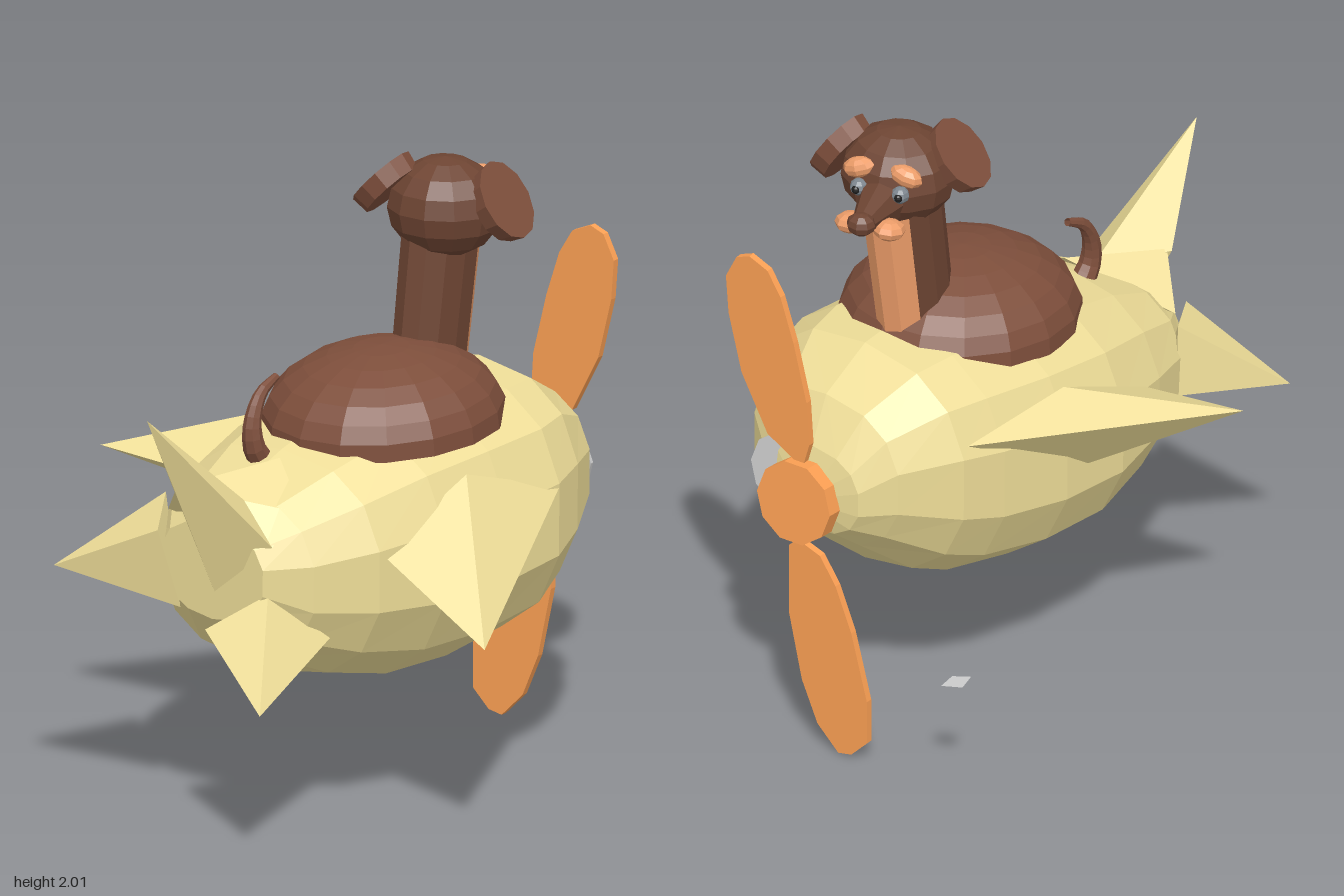
import * as THREE from 'three';
import { ConvexGeometry } from 'three/addons/geometries/ConvexGeometry.js';

const mat = (color, side = THREE.FrontSide) =>
  new THREE.MeshStandardMaterial({ color, flatShading: true, side });
const CREAM = mat(0xeedd98), BROWN = mat(0x7d4e3b, THREE.DoubleSide), DARK = mat(0x6e4533);
const TAN = mat(0xee9e6a), ORANGE = mat(0xfca054), GREY = mat(0xcccccc, THREE.DoubleSide);
const EYE = mat(0x7d868e), PUPIL = mat(0x202020);

function add(parent, name, geometry, material, pos = [0, 0, 0], rot = [0, 0, 0], scale = [1, 1, 1]) {
  const m = new THREE.Mesh(geometry, material);
  m.name = name;
  m.position.set(...pos);
  m.rotation.set(...rot);
  m.scale.set(...scale);
  parent.add(m);
  return m;
}

const ball = (w = 10, h = 7) => new THREE.SphereGeometry(1, w, h);
const spike = (...pts) => new ConvexGeometry(pts.map(p => new THREE.Vector3(...p)));

// Closed hull from rings along x: [x, top, bottom, zMin, zMax], with fuller shoulders above
function hullGeometry(rings, sides) {
  const pos = [], idx = [];
  const bulge = (v, e) => Math.sign(v) * Math.abs(v) ** e;
  for (const [x, t, b, z0, z1] of rings)
    for (let j = 0; j < sides; j++) {
      const a = ((j + 0.5) / sides) * Math.PI * 2, e = Math.sin(a) > 0 ? 0.8 : 0.92;
      pos.push(x, (t + b) / 2 + bulge(Math.sin(a), e) * (t - b) / 2,
        (z0 + z1) / 2 + bulge(Math.cos(a), e) * (z1 - z0) / 2);
    }
  const last = (rings.length - 1) * sides;
  for (let j = 0; j < sides; j++) {
    const k = (j + 1) % sides;
    for (let i = 0; i < last; i += sides)
      idx.push(i + j, i + k, i + sides + j, i + k, i + sides + k, i + sides + j);
    if (j > 0 && j < sides - 1) idx.push(0, k, j, last, last + j, last + k);
  }
  const g = new THREE.BufferGeometry();
  g.setAttribute('position', new THREE.Float32BufferAttribute(pos, 3));
  g.setIndex(idx);
  g.computeVertexNormals();
  return g;
}

// Flat blade from a [z, y] outline
function bladeGeometry(outline) {
  const shape = new THREE.Shape(outline.map(([z, y]) => new THREE.Vector2(-z, y)));
  const g = new THREE.ExtrudeGeometry(shape, { depth: 0.024, bevelEnabled: false });
  return g.rotateY(Math.PI / 2);
}

// Tube whose radius shrinks to a tip
function taperedTube(points, radius, tip) {
  const curve = new THREE.CatmullRomCurve3(points.map(p => new THREE.Vector3(...p)));
  const rows = 10, sides = 8;
  const g = new THREE.TubeGeometry(curve, rows, radius, sides, false);
  const p = g.attributes.position, v = new THREE.Vector3();
  for (let i = 0; i < p.count; i++) {
    const t = Math.floor(i / (sides + 1)) / rows, c = curve.getPointAt(t);
    v.fromBufferAttribute(p, i).sub(c).multiplyScalar(1 + (tip - 1) * t).add(c);
    p.setXYZ(i, v.x, v.y, v.z);
  }
  return g;
}

function buildAircraft() {
  const g = new THREE.Group();
  g.name = 'aircraft';
  add(g, 'fuselage', hullGeometry([
    [0.88, 0.97, 0.79, -0.10, 0.13], [0.86, 1.04, 0.74, -0.18, 0.21],
    [0.77, 1.18, 0.66, -0.27, 0.34], [0.59, 1.29, 0.51, -0.39, 0.45],
    [0.44, 1.30, 0.44, -0.43, 0.505], [0.19, 1.29, 0.40, -0.475, 0.505],
    [-0.07, 1.26, 0.40, -0.48, 0.475], [-0.31, 1.19, 0.46, -0.42, 0.41],
    [-0.50, 1.10, 0.55, -0.35, 0.30], [-0.62, 1.01, 0.70, -0.24, 0.19],
  ], 14), CREAM);

  // Wings and tail fins: the first point is the tip
  add(g, 'rightWing', spike([-0.30, 0.70, 0.83], [-0.28, 0.92, 0.38], [0.06, 1.11, 0.44],
    [0.45, 0.99, 0.49], [0.10, 0.79, 0.48]), CREAM);
  add(g, 'leftWing', spike([-0.23, 1.01, -0.83], [-0.18, 0.98, -0.46], [0.17, 1.12, -0.43],
    [0.57, 1.06, -0.38], [0.10, 0.82, -0.46]), CREAM);
  add(g, 'topFin', spike([-0.96, 1.44, 0], [-0.68, 1.13, -0.14], [-0.58, 0.97, 0.19],
    [-0.66, 0.81, 0.02], [-0.52, 1.06, 0.06]), CREAM);
  add(g, 'topFinRoot', spike([-0.68, 1.13, -0.12], [-0.36, 1.18, 0.03], [-0.46, 1.06, 0.21],
    [-0.58, 0.97, 0.19], [-0.56, 1.0, -0.26]), CREAM);
  add(g, 'rightFin', spike([-0.88, 0.53, 0.40], [-0.74, 0.71, 0.05], [-0.60, 0.82, 0.19],
    [-0.43, 0.66, 0.30], [-0.54, 0.58, 0.10]), CREAM);
  add(g, 'leftFin', spike([-0.74, 0.79, -0.58], [-0.68, 0.97, -0.20], [-0.48, 1.02, -0.34],
    [-0.46, 0.78, -0.35], [-0.64, 0.72, -0.14]), CREAM);
  return g;
}

function buildPropeller() {
  const g = new THREE.Group();
  g.name = 'propeller';
  add(g, 'hub', new THREE.CylinderGeometry(0.14, 0.14, 0.055, 10), ORANGE,
    [0.92, 0.865, 0.02], [0, 0.1, -Math.PI / 2 + 0.096]);
  add(g, 'upperBlade', bladeGeometry([
    [0.05, 1.0], [0.01, 1.0], [-0.01, 1.07], [0, 1.22], [0.05, 1.42], [0.1, 1.57], [0.15, 1.65],
    [0.22, 1.68], [0.27, 1.66], [0.31, 1.58], [0.3, 1.45], [0.25, 1.25], [0.15, 1.06],
  ]), ORANGE, [0.883, 0, 0], [0, 0.1, 0]);
  add(g, 'lowerBlade', bladeGeometry([
    [0.06, 0.69], [0.02, 0.72], [-0.06, 0.69], [-0.12, 0.6], [-0.18, 0.45], [-0.24, 0.22],
    [-0.24, 0.07], [-0.18, 0.01], [-0.13, 0], [-0.05, 0.08], [0.01, 0.22], [0.06, 0.45],
  ]), ORANGE, [0.893, 0, 0], [0, 0.1, 0]);
  add(g, 'backPlate', new THREE.CylinderGeometry(0.13, 0.13, 0.012, 10), GREY,
    [0.865, 0.91, 0.12], [0, 0.1, -Math.PI / 2 + 0.1]);
  // Small loose chip beside the nose
  const chip = new THREE.BufferGeometry();
  chip.setAttribute('position', new THREE.Float32BufferAttribute(
    [0.83, 0.43, -0.62, 0.86, 0.40, -0.61, 0.87, 0.38, -0.53, 0.84, 0.41, -0.55], 3));
  chip.setIndex([0, 1, 2, 0, 2, 3]);
  chip.computeVertexNormals();
  add(g, 'looseChip', chip, GREY);
  return g;
}

function buildHead() {
  const g = new THREE.Group();
  g.name = 'head';
  g.position.set(0.41, 1.83, 0.046);
  g.rotation.y = 0.33;
  add(g, 'skull', ball(12, 8), DARK, [0, 0, 0], [0, 0, 0], [0.175, 0.162, 0.187]);
  add(g, 'snout', new THREE.CylinderGeometry(0.036, 0.09, 0.2, 8), DARK,
    [0.2, -0.03, 0], [0, 0, -Math.PI / 2]);
  add(g, 'nose', ball(8, 6), DARK, [0.315, -0.026, 0], [0, 0, 0], [0.042, 0.038, 0.048]);
  for (const s of [1, -1]) {
    add(g, 'cheek', ball(8, 6), TAN, [0.24, -0.072, s * 0.065], [0, s * 0.25, 0.15], [0.055, 0.034, 0.052]);
    add(g, 'brow', ball(8, 6), TAN, [0.135, 0.068, s * 0.08], [s * 0.3, 0, 0], [0.035, 0.034, 0.056]);
    add(g, 'eye', ball(8, 6), EYE, [0.16, 0.012, s * 0.07], [0, 0, 0], [0.03, 0.028, 0.03]);
    add(g, 'pupil', ball(8, 6), PUPIL, [0.183, 0.012, s * 0.072], [0, 0, 0], [0.012, 0.014, 0.014]);
  }
  return g;
}

function buildDog() {
  const g = new THREE.Group();
  g.name = 'dog';
  // Back of the dog, a dome sitting in the opening
  add(g, 'torso', new THREE.SphereGeometry(1, 16, 7, 0, Math.PI * 2, 0, Math.PI * 0.52), BROWN,
    [0.13, 1.2, 0.035], [0, 0, 0.05], [0.405, 0.24, 0.375]);

  // Neck: brown back arc and tan throat arc of one tilted column
  const step = Math.PI / 6;
  const arc = (first, n) => new THREE.CylinderGeometry(1, 0.95, 0.54, n, 1, true, first * step, n * step);
  for (const [name, first, n, m] of [['neck', 5, 8, DARK], ['throat', 1, 4, TAN]])
    add(g, name, arc(first, n), m, [0.385, 1.48, 0.02], [0, 0, -0.142], [0.15, 1, 0.107]);

  g.add(buildHead());

  // Ears: thick oval discs
  const ear = () => new THREE.CylinderGeometry(1, 0.92, 0.06, 12);
  add(g, 'rightEar', ear(), BROWN, [0.46, 1.865, 0.235], [1.0, 0, 0], [0.102, 1, 0.132]);
  add(g, 'leftEar', ear(), BROWN, [0.31, 1.895, -0.11], [-0.8, 0, 0.12], [0.102, 1, 0.125]);

  add(g, 'tail', taperedTube([[-0.33, 1.14, -0.07], [-0.37, 1.2, -0.07], [-0.37, 1.28, -0.075],
    [-0.325, 1.36, -0.08], [-0.25, 1.4, -0.08]], 0.042, 0.3), BROWN);
  return g;
}

export function createModel() {
  const model = new THREE.Group();
  model.name = 'dogInAircraft';
  model.add(buildAircraft(), buildPropeller(), buildDog());
  return model;
}
